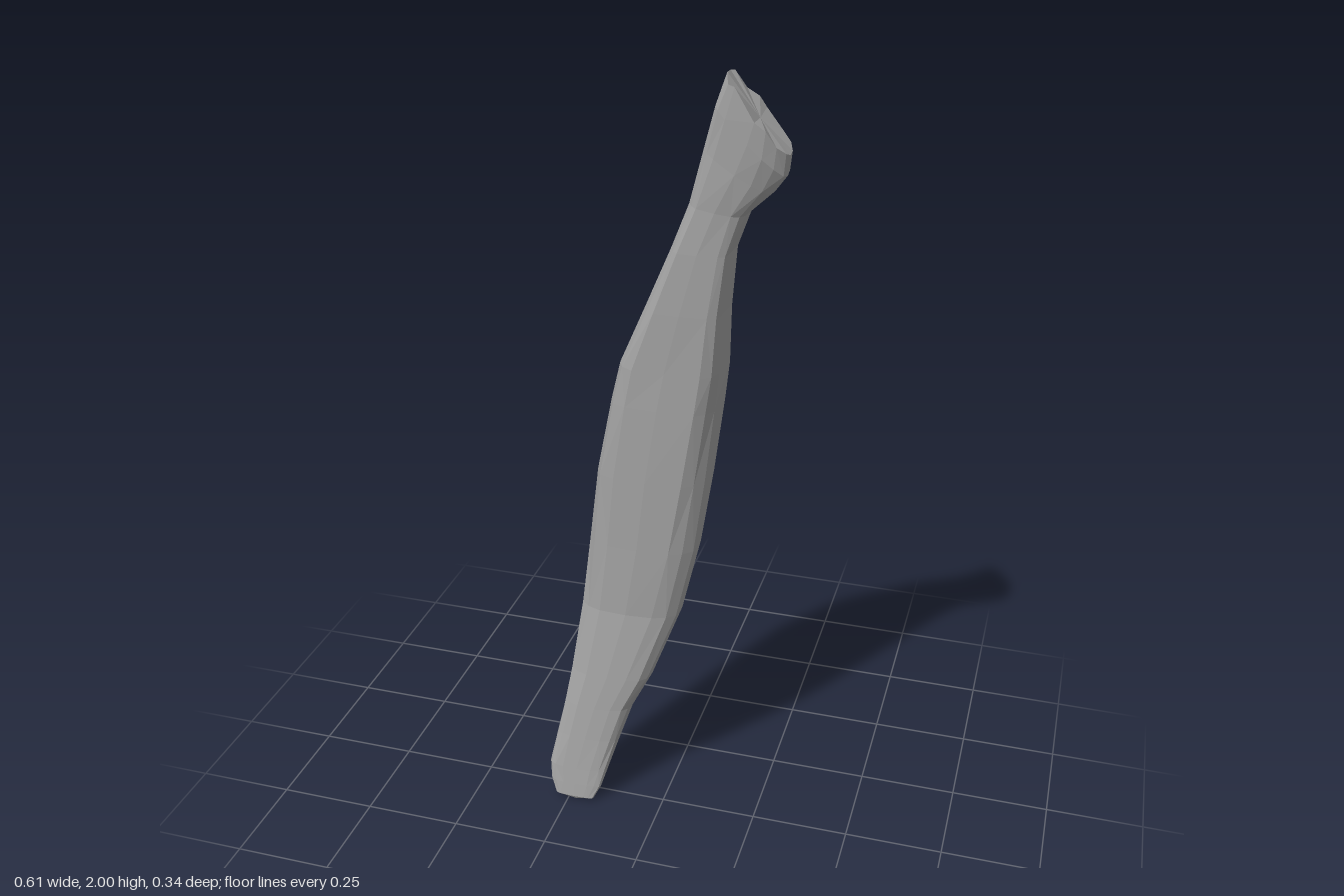
import * as THREE from 'three';

const SIDES = 16;

// Cross-sections: height, xMin, xMax, zMin, zMax
const SECTIONS = [
  [0.01, -0.285, -0.18, 0.052, 0.066],
  [0.05, -0.3, -0.16, 0.036, 0.064],
  [0.1, -0.305, -0.145, 0.018, 0.061],
  [0.2, -0.286, -0.115, -0.02, 0.056],
  [0.3, -0.265, -0.083, -0.047, 0.052],
  [0.4, -0.246, -0.033, -0.072, 0.048],
  [0.6, -0.216, 0.04, -0.117, 0.042],
  [0.8, -0.19, 0.085, -0.146, 0.058],
  [1.0, -0.165, 0.115, -0.168, 0.075],
  [1.2, -0.122, 0.142, -0.162, 0.092],
  [1.3, -0.095, 0.155, -0.142, 0.1],
  [1.45, -0.025, 0.163, -0.108, 0.115],
  [1.6, 0.043, 0.18, -0.066, 0.127],
  [1.7, 0.088, 0.214, -0.03, 0.134],
  [1.79, 0.123, 0.27, 0.015, 0.147],
  [1.86, 0.15, 0.3, 0.042, 0.16],
  [1.915, 0.175, 0.306, 0.052, 0.168],
];

// Corner sharpness by height: front left, front right, back right, back left
// (0 is a square corner, 1 is round, 2 is a straight cut)
const CORNERS = [
  [0, 0.8, 0.8, 0.6, 0.9],
  [0.3, 0.8, 0.7, 0.4, 1.1],
  [0.7, 0.6, 0.6, 0.5, 1.4],
  [1.1, 0.45, 0.55, 0.55, 1.5],
  [1.6, 0.4, 0.45, 0.7, 1.5],
  [1.8, 0.8, 0.45, 1.3, 0.7],
  [2, 1.3, 0.4, 1.8, 0.4],
];

function cornerAt(y, quadrant) {
  const i = CORNERS.findIndex((row) => row[0] > y);
  const [low, high] = [CORNERS[i - 1], CORNERS[i]];
  const t = (y - low[0]) / (high[0] - low[0]);
  return THREE.MathUtils.lerp(low[quadrant + 1], high[quadrant + 1], t);
}

const power = (v, p) => Math.sign(v) * Math.abs(v) ** p;

// One ring with its own four corners and shallow lengthwise fibres
function ringPoints([y, x0, x1, z0, z1], row) {
  const cx = (x0 + x1) / 2, cz = (z0 + z1) / 2;
  const tilt = Math.max(0, (y - 1.67) * 5.2); // the upper end is cut at a slant
  const points = [];
  for (let j = 0; j < SIDES; j++) {
    const t = (j / SIDES) * Math.PI * 2;
    const p = cornerAt(y, Math.floor((j * 4) / SIDES));
    const fibre = j % 4 === 0 ? 1 : 1 + 0.02 * Math.sin(j * 2.3 + row * 0.8);
    const dx = power(Math.cos(t), p) * fibre * (x1 - x0) / 2;
    const dz = power(Math.sin(t), p) * fibre * (z1 - z0) / 2;
    const ragged = row === SECTIONS.length - 1 && j % 8 ? 0.008 * Math.sin(j * 2.9) : 0;
    points.push([cx + dx, y - tilt * dx + ragged, cz + dz]);
  }
  return points;
}

// Faceted skin joining the rings, closed at both ends
function bodyGeometry() {
  const rings = SECTIONS.map(ringPoints);
  const last = rings.length - 1;
  const position = rings.flat(2);
  const bottom = rings.length * SIDES, top = bottom + 1;
  position.push(-0.23, 0, 0.06, 0.24, 1.905, 0.11);
  const index = [];
  for (let j = 0; j < SIDES; j++) {
    const k = (j + 1) % SIDES;
    for (let i = 0; i < last; i++) {
      const a = i * SIDES + j, b = i * SIDES + k;
      const c = a + SIDES, d = b + SIDES;
      if ((i + j) % 2) index.push(a, c, b, b, c, d);
      else index.push(a, c, d, a, d, b);
    }
    index.push(bottom, j, k);
    index.push(top, last * SIDES + k, last * SIDES + j);
  }
  const geometry = new THREE.BufferGeometry();
  geometry.setAttribute('position', new THREE.Float32BufferAttribute(position, 3));
  geometry.setIndex(index);
  const flat = geometry.toNonIndexed();
  flat.computeVertexNormals();
  return flat;
}

export function createModel() {
  const group = new THREE.Group();
  group.name = 'muscle';
  const grey = new THREE.MeshStandardMaterial({ color: 0xa6a6a6 });
  grey.name = 'grey';
  const body = new THREE.Mesh(bodyGeometry(), grey);
  body.name = 'muscleBelly';
  group.add(body);
  return group;
}
